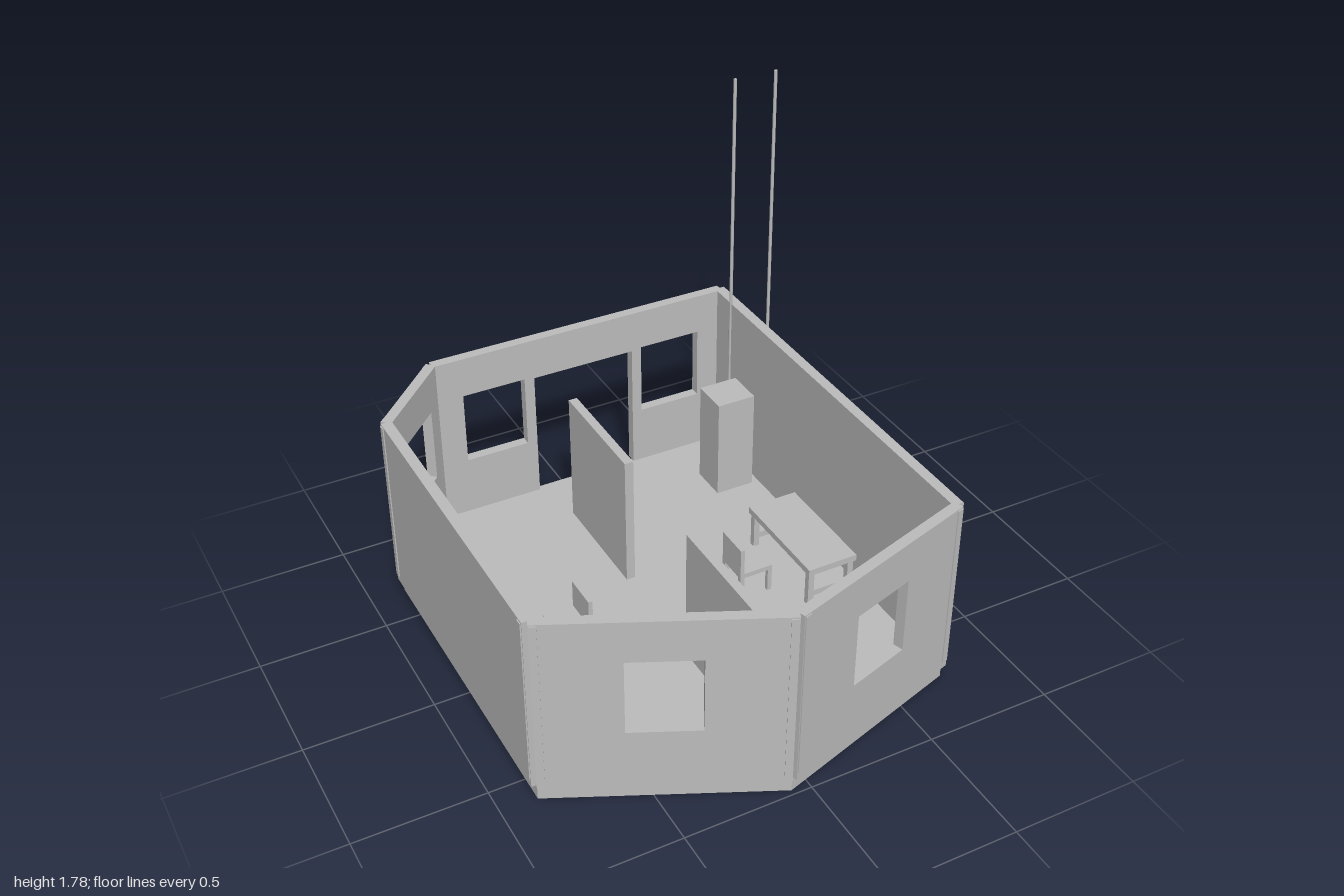
import * as THREE from 'three';

const grey = new THREE.MeshStandardMaterial({ color: 0xbcbcbc });
grey.name = 'plaster grey';

const FLOOR = 0.065, TOP = 0.795, THICK = 0.042;

// Wall centre-line corners (x, z) with the openings of the wall that starts there.
// An opening is [centre along the wall, width, bottom, top].
const windowAt = (c) => [c, 0.265, 0.315, 0.625];
const walls = [
  { name: 'frontRightWall', at: [-0.86, 0.605], openings: [windowAt(0)] },
  { name: 'frontLeftWall', at: [-0.07, 0.98], openings: [windowAt(0)] },
  { name: 'leftWall', at: [0.72, 0.735], openings: [] },
  { name: 'backWall', at: [0.72, -0.975], openings: [windowAt(-0.395), windowAt(0.395)], door: [-0.22, 0.22, 0.618] },
  { name: 'cornerWall', at: [-0.565, -0.975], openings: [windowAt(0)] },
  { name: 'rightWall', at: [-0.86, -0.675], openings: [] },
];

function mesh(name, geometry, x = 0, y = 0, z = 0) {
  const m = new THREE.Mesh(geometry, grey);
  m.name = name;
  m.position.set(x, y, z);
  return m;
}

// Box from its centre in x and z and its bottom and top in y
function block(name, x, z, w, d, y0, y1) {
  return mesh(name, new THREE.BoxGeometry(w, y1 - y0, d), x, (y0 + y1) / 2, z);
}

function polygon(points) {
  return new THREE.Shape(points.map(([x, y]) => new THREE.Vector2(x, y)));
}

function extrude(shape, depth) {
  return new THREE.ExtrudeGeometry(shape, { depth, bevelEnabled: false });
}

// One wall, with its openings and a raised strip at each end
function makeWall({ name, at: [x0, z0], openings, door }, [x1, z1]) {
  const g = new THREE.Group();
  g.name = name;
  const len = Math.hypot(x1 - x0, z1 - z0), h = len / 2;
  const outline = [[-h, FLOOR]];
  if (door) {
    const [a, b, t] = door;
    outline.push([a, FLOOR], [a, t], [b, t], [b, FLOOR]);
  }
  outline.push([h, FLOOR], [h, TOP], [-h, TOP]);
  const shape = polygon(outline);
  for (const [c, w, b, t] of openings) {
    const l = c - w / 2, r = c + w / 2;
    shape.holes.push(polygon([[l, b], [l, t], [r, t], [r, b]]));
  }
  const geo = extrude(shape, THICK);
  geo.translate(0, 0, -THICK / 2);
  g.add(mesh('wallPanel', geo));
  for (const s of [-1, 1]) {
    g.add(block('endStrip', s * (h - 0.016), 0.0225, 0.026, 0.006, 0.095, 0.79));
  }
  g.position.set((x0 + x1) / 2, 0, (z0 + z1) / 2);
  g.rotation.y = Math.atan2(z0 - z1, x1 - x0);
  return g;
}

// Four legs at the corners of a rectangle
function addLegs(g, x, z, w, d, t, top) {
  for (const sx of [-1, 1]) for (const sz of [-1, 1]) {
    g.add(block('leg', x + sx * (w - t) / 2, z + sz * (d - t) / 2, t, t, FLOOR, top));
  }
}

function makeDesk(x) {
  const g = new THREE.Group();
  g.name = 'desk';
  g.add(block('deskTop', x, 0, 0.212, 0.46, 0.215, 0.242));
  addLegs(g, x, 0, 0.2, 0.44, 0.025, 0.215);
  for (const s of [-1, 1]) g.add(block('endRail', x, s * 0.2075, 0.16, 0.018, 0.1, 0.125));
  return g;
}

// Chair whose backrest stands on the side given by the sign
function makeChair(x, side) {
  const g = new THREE.Group();
  g.name = 'chair';
  g.add(block('seat', x, 0, 0.14, 0.14, 0.165, 0.185));
  g.add(block('backrest', x + side * 0.0615, 0, 0.017, 0.14, 0.185, 0.3));
  addLegs(g, x, 0, 0.14, 0.14, 0.018, 0.165);
  return g;
}

export function createModel() {
  const model = new THREE.Group();
  model.name = 'room';

  // Floor slab
  const floor = extrude(polygon(walls.map(({ at: [x, z] }) => [x, -z])), FLOOR);
  floor.rotateX(-Math.PI / 2);
  model.add(mesh('floor', floor));

  // Outer walls
  walls.forEach((w, i) => model.add(makeWall(w, walls[(i + 1) % walls.length].at)));

  // Partitions
  for (const s of [-1, 1]) model.add(block('partition', -0.072, s * 0.4925, 0.036, 0.495, FLOOR, 0.62));

  // Furniture
  model.add(makeDesk(-0.698), makeDesk(0.555));
  model.add(makeChair(-0.455, 1), makeChair(0.311, -1));
  model.add(block('cabinet', 0.585, -0.658, 0.165, 0.157, FLOOR, 0.5));

  // Tall poles
  for (const x of [0.699, 0.878]) {
    model.add(mesh('pole', new THREE.CylinderGeometry(0.007, 0.007, 1.77, 10), x, 0.895, -0.84));
  }
  return model;
}
